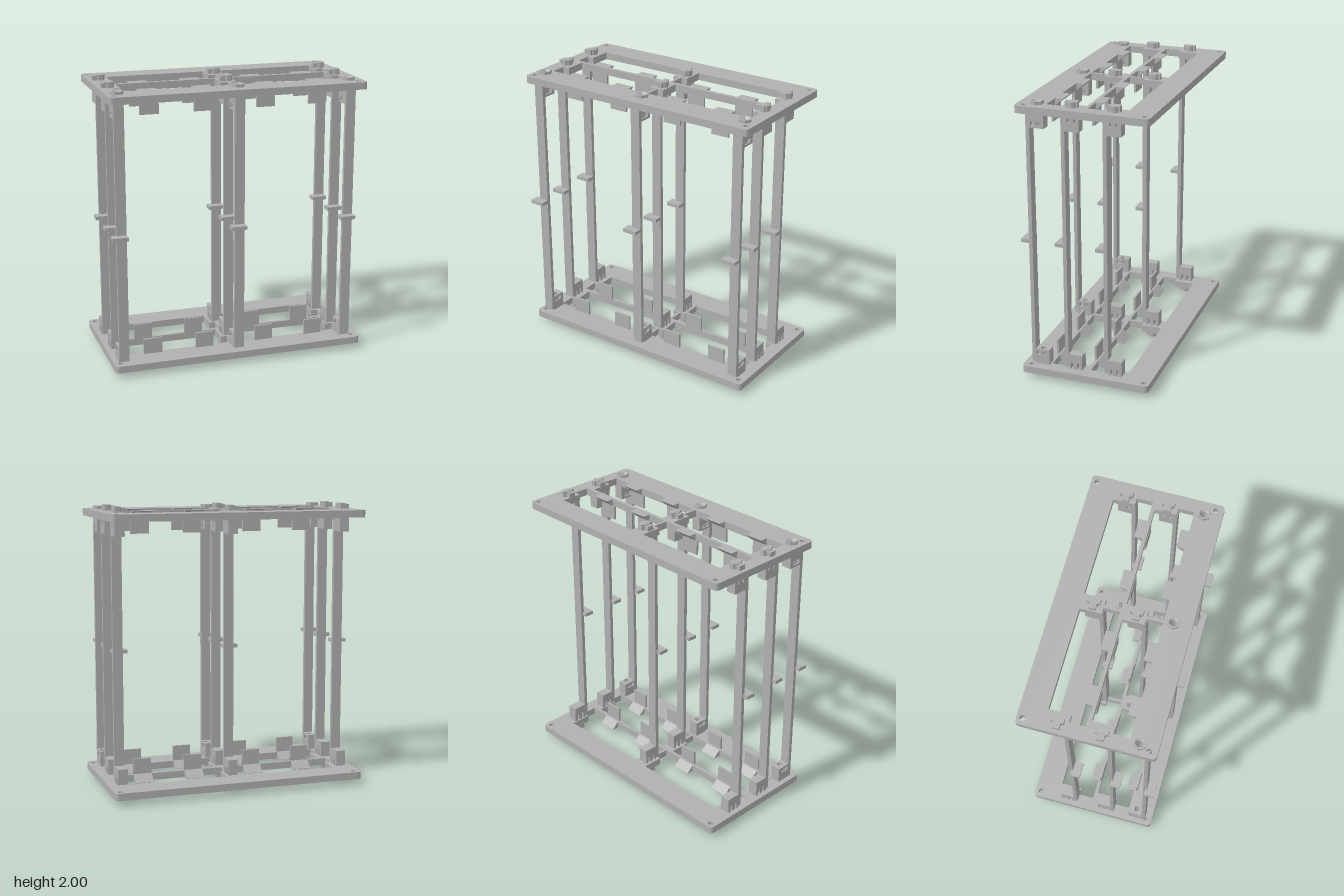
import * as THREE from 'three';

const grey = new THREE.MeshStandardMaterial({ color: 0xb0b0b0 });
grey.name = 'light grey';

const COLUMNS = [-0.833, 0, 0.803];   // post centres in x
const ROWS = [0.403, 0.159, -0.128];  // front faces of the posts in z
const W = 0.07;                       // post width

export function createModel() {
  const model = new THREE.Group();
  model.name = 'rackFrame';

  const add = (name, geometry) => {
    const mesh = new THREE.Mesh(geometry, grey);
    mesh.name = name;
    model.add(mesh);
    return mesh;
  };
  const box = (name, x0, x1, y0, y1, z0, z1) => {
    const g = new THREE.BoxGeometry(x1 - x0, y1 - y0, z1 - z0);
    g.translate((x0 + x1) / 2, (y0 + y1) / 2, (z0 + z1) / 2);
    return add(name, g);
  };
  const poly = (pts) => new THREE.Shape(pts.map(([a, b]) => new THREE.Vector2(a, b)));
  const rect = (a0, a1, b0, b1) => poly([[a0, b0], [a1, b0], [a1, b1], [a0, b1]]);
  const circle = (x, z, r) => new THREE.Path().absarc(x, z, r, 0, Math.PI * 2, true);
  // Plan outline (x, z) raised from y0 to y1
  const slab = (name, shape, y0, y1) => {
    const g = new THREE.ExtrudeGeometry(shape, { depth: y1 - y0, bevelEnabled: false, curveSegments: 10 });
    g.rotateX(Math.PI / 2).translate(0, y1, 0);
    return add(name, g);
  };
  // Side outline (z, y) swept across a width centred on x
  const across = (name, shape, x, width) => {
    const g = new THREE.ExtrudeGeometry(shape, { depth: width, bevelEnabled: false });
    g.rotateY(-Math.PI / 2).translate(x + width / 2, 0, 0);
    return add(name, g);
  };

  // Plate outline with rounded corners, four stepped openings and screw holes
  const plateShape = () => {
    const X = 0.905, Z0 = -0.46, Z1 = 0.455, r = 0.03;
    const s = new THREE.Shape();
    s.moveTo(-X + r, Z0);
    s.lineTo(X - r, Z0).quadraticCurveTo(X, Z0, X, Z0 + r);
    s.lineTo(X, Z1 - r).quadraticCurveTo(X, Z1, X - r, Z1);
    s.lineTo(-X + r, Z1).quadraticCurveTo(-X, Z1, -X, Z1 - r);
    s.lineTo(-X, Z0 + r).quadraticCurveTo(-X, Z0, -X + r, Z0);
    for (const z of [-0.28, 0.005]) {
      for (const side of [-1, 1]) {
        s.holes.push(poly([
          [0.055, z], [0.76, z], [0.76, z + 0.15], [0.81, z + 0.15],
          [0.81, z + 0.26], [0.01, z + 0.26], [0.01, z + 0.15], [0.055, z + 0.15],
        ].map(([x, b]) => [x * side, b])));
      }
    }
    for (const x of [-0.86, 0.86]) for (const z of [-0.42, 0.4]) s.holes.push(circle(x, z, 0.018));
    for (const x of COLUMNS) s.holes.push(circle(x + 0.007, 0.33, 0.02));
    return s;
  };

  for (const top of [true, false]) {
    const end = top ? 'top' : 'bottom';
    const m = (y) => (top ? y : 2 - y);  // mirrors heights for the bottom end
    const span = (y0, y1) => (top ? [y0, y1] : [2 - y1, 2 - y0]);

    slab(end + 'Plate', plateShape(), ...span(1.91, 1.96));

    // Guide tabs: a ramp in the plate thickness and an upright flap
    for (const z of [-0.02, 0.265]) {
      for (const x of [-0.6, -0.222, 0.222, 0.6]) {
        across(end + 'GuideRamp', poly([[z, m(1.96)], [z, m(1.91)], [z - 0.055, m(1.958)], [z - 0.055, m(1.96)]]), x, 0.133);
        box(end + 'GuideFlap', x - 0.066, x + 0.066, ...span(1.8, 1.91), z + 0.013, z + 0.028);
      }
    }

    for (const x of COLUMNS) {
      const x0 = x - W / 2, x1 = x + W / 2, cx = x + 0.007, cz = 0.33;

      // Front bracket: drilled block with a side slot holding a nut
      const [zb, zf] = [ROWS[0] - 0.126, ROWS[0] - 0.025];
      for (const [a, b] of [[1.8, 1.815], [1.845, 1.91]]) {
        const s = rect(x0, x1, zb, zf);
        s.holes.push(circle(cx, cz, 0.02));
        slab(end + 'FrontBracket', s, ...span(a, b));
      }
      box(end + 'FrontBracketRear', x0, x1, ...span(1.815, 1.845), zb, 0.303);
      box(end + 'FrontBracketFront', x0, x1, ...span(1.815, 1.845), 0.369, zf);
      const hex = [];
      for (let i = 0; i < 6; i++) {
        const a = i * Math.PI / 3;
        hex.push([x + 0.034 * Math.cos(a), 0.336 + 0.034 * Math.sin(a)]);
      }
      const nut = poly(hex);
      nut.holes.push(circle(cx, cz, 0.018));
      slab(end + 'Nut', nut, ...span(1.816, 1.844));

      // Hexagonal collar with a countersunk hole
      const profile = [[0.02, 0], [0.047, 0], [0.047, 0.02], [0.034, 0.02], [0.02, 0.004], [0.02, 0]]
        .map(([r, y]) => new THREE.Vector2(r, y));
      const collar = new THREE.LatheGeometry(profile, 6, Math.PI / 6).toNonIndexed();
      collar.computeVertexNormals();
      if (!top) collar.rotateZ(Math.PI);
      collar.translate(cx, m(1.96), cz);
      add(end + 'Collar', collar);

      // Middle and rear brackets: slit block with a snap head through the plate
      for (const z of ROWS.slice(1)) {
        const h = z - 0.072;
        const b = z - 0.124, f = z - 0.025;
        across(end + 'SnapBracket', poly([
          [b, 1.8], [f, 1.8], [f, 1.91],
          [h + 0.03, 1.91], [h + 0.028, 1.862], [h + 0.017, 1.862], [h + 0.011, 1.91],
          [h - 0.011, 1.91], [h - 0.017, 1.862], [h - 0.028, 1.862], [h - 0.03, 1.91],
          [b, 1.91],
        ].map(([u, v]) => [u, m(v)])), x, W);
        // Head: round catch with a key on one side and two side barbs
        const head = new THREE.Shape().absarc(x + 0.01, h, 0.034, 0, Math.PI * 2, false);
        slab(end + 'SnapHead', head, ...span(1.95, 1.998));
        box(end + 'SnapKey', x - 0.045, x, ...span(1.95, 1.992), h - 0.024, h + 0.024);
        box(end + 'SnapBarbs', x - 0.006, x + 0.026, ...span(1.96, 2), h - 0.043, h + 0.043);
      }
    }
  }

  // Posts, each with a small finger tab at mid height
  for (const x of COLUMNS) {
    for (const z of ROWS) {
      box('post', x - W / 2, x + W / 2, 0.1, 1.91, z - 0.026, z);
      box('fingerTab', x - 0.072, x + W / 2, 0.988, 1.013, z - 0.012, z + 0.058);
    }
  }
  return model;
}
